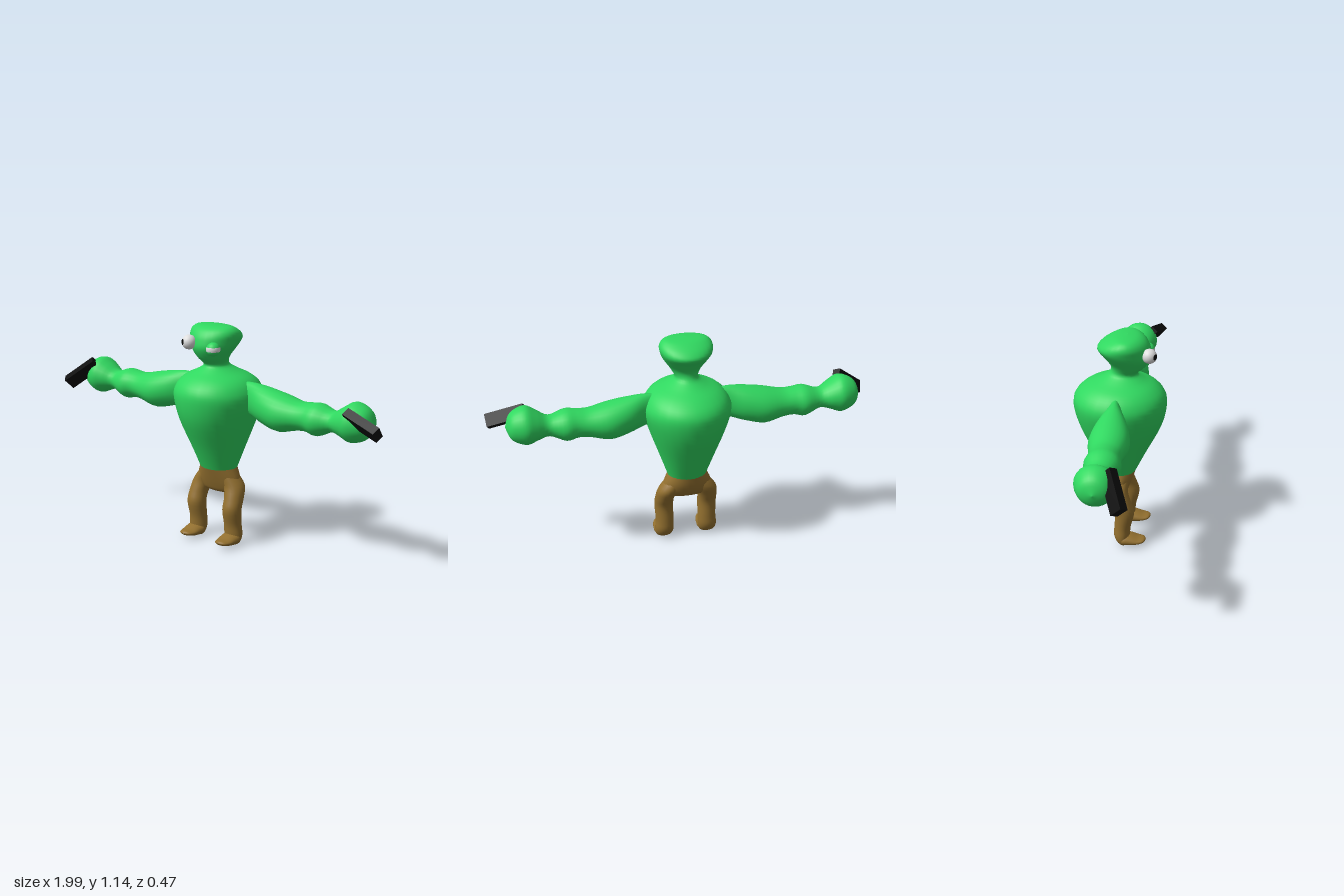
import * as THREE from 'three';

const mat = (name, color) => {
  const m = new THREE.MeshStandardMaterial({ color });
  m.name = name;
  return m;
};

const CX = -0.01; // body midline

// Smooth loft through elliptical rings: rows of [x, y, z, sideRadius, upRadius]
function loft(rows, axis, side, steps = 4, radial = 24) {
  const up = new THREE.Vector3().crossVectors(axis, side);
  const cr = (a, b, c, d, t) =>
    0.5 * (2 * b + (c - a) * t + (2 * a - 5 * b + 4 * c - d) * t * t + (3 * b - a - 3 * c + d) * t * t * t);
  const row = (i) => rows[Math.min(rows.length - 1, Math.max(0, i))];
  const rings = [];
  for (let i = 0; i < rows.length - 1; i++)
    for (let s = 0; s < steps; s++)
      rings.push(row(i).map((_, k) => cr(row(i - 1)[k], row(i)[k], row(i + 1)[k], row(i + 2)[k], s / steps)));
  rings.push(rows[rows.length - 1]);

  const pos = [], idx = [];
  rings.forEach(([x, y, z, a, b], i) => {
    for (let j = 0; j < radial; j++) {
      const t = (j / radial) * Math.PI * 2;
      const p = new THREE.Vector3(x, y, z)
        .addScaledVector(side, Math.max(a, 0.001) * Math.cos(t))
        .addScaledVector(up, Math.max(b, 0.001) * Math.sin(t));
      pos.push(p.x, p.y, p.z);
      if (i === rings.length - 1) continue;
      const k = i * radial + j, n = i * radial + ((j + 1) % radial);
      idx.push(k, n, k + radial, n, n + radial, k + radial);
    }
  });
  const g = new THREE.BufferGeometry();
  g.setAttribute('position', new THREE.Float32BufferAttribute(pos, 3));
  g.setIndex(idx);
  g.computeVertexNormals();
  return g;
}

export function createModel() {
  const green = mat('green skin', 0x30d860);
  const brown = mat('brown trousers', 0x93702f);
  const black = mat('black', 0x0a0a0a);
  const white = mat('eye white', 0xdedede);

  const model = new THREE.Group();
  const add = (name, geo, material, parent = model) => {
    const m = new THREE.Mesh(geo, material);
    m.name = name;
    parent.add(m);
    return m;
  };
  const X = new THREE.Vector3(1, 0, 0);
  const Y = new THREE.Vector3(0, 1, 0);
  const Z = new THREE.Vector3(0, 0, 1);

  // Torso, neck and head: [y, half width, back z, front z]
  const body = [
    [0.395, 0.102, -0.085, 0.085], [0.51, 0.142, -0.14, 0.14], [0.66, 0.195, -0.21, 0.213],
    [0.77, 0.225, -0.236, 0.236], [0.83, 0.212, -0.222, 0.225], [0.875, 0.172, -0.17, 0.182],
    [0.91, 0.1, -0.1, 0.12], [0.94, 0.06, -0.055, 0.088], [0.98, 0.078, -0.048, 0.128],
    [1.03, 0.112, -0.083, 0.155], [1.07, 0.13, -0.114, 0.152], [1.1, 0.135, -0.095, 0.14],
    [1.125, 0.122, -0.055, 0.118], [1.14, 0.09, -0.015, 0.085], [1.145, 0.001, 0.034, 0.036],
  ].map(([y, w, b, f]) => [CX, y, (b + f) / 2, w, (f - b) / 2]);
  add('torsoAndHead', loft(body, Y, X, 4, 28), green);

  // Trouser seat
  const seat = [
    [CX, 0.4, 0, 0.102, 0.086], [CX, 0.35, -0.004, 0.125, 0.074], [CX, 0.305, -0.004, 0.135, 0.058],
    [CX, 0.275, 0, 0.11, 0.04], [CX, 0.262, 0, 0.06, 0.02], [CX, 0.26, 0, 0.001, 0.001],
  ];
  add('trouserSeat', loft(seat, Y.clone().negate(), X), brown);

  // Arms, legs and feet, mirrored about the midline
  const arm = [
    [0.12, 0.79, 0.02, 0.07], [0.21, 0.785, 0.04, 0.085], [0.3, 0.765, 0.08, 0.095],
    [0.4, 0.745, 0.1, 0.096], [0.5, 0.745, 0.084, 0.073], [0.56, 0.748, 0.08, 0.072],
    [0.62, 0.745, 0.088, 0.08], [0.7, 0.75, 0.062, 0.052], [0.76, 0.76, 0.085, 0.075],
    [0.81, 0.765, 0.1, 0.098], [0.86, 0.765, 0.085, 0.085], [0.895, 0.765, 0.058, 0.056],
    [0.915, 0.765, 0.001, 0.001],
  ];
  const leg = [
    [0.055, 0.37, 0, 0.05, 0.055], [0.098, 0.31, -0.004, 0.055, 0.056], [0.115, 0.25, 0.018, 0.05, 0.053],
    [0.117, 0.19, 0.038, 0.05, 0.05], [0.115, 0.11, 0.028, 0.048, 0.043], [0.117, 0.06, 0.025, 0.05, 0.042],
    [0.118, 0.025, 0.03, 0.046, 0.034], [0.118, 0.005, 0.035, 0.03, 0.018], [0.118, 0.003, 0.035, 0.001, 0.001],
  ];
  const foot = [
    [0.118, 0.035, 0, 0.02, 0.02], [0.118, 0.036, 0.03, 0.05, 0.033], [0.118, 0.033, 0.07, 0.05, 0.029],
    [0.118, 0.031, 0.11, 0.044, 0.018], [0.118, 0.034, 0.14, 0.03, 0.011], [0.118, 0.036, 0.151, 0.001, 0.001],
  ];
  for (const [s, side] of [[1, 'left'], [-1, 'right']]) {
    const flip = (rows) => rows.map(([x, ...r]) => [CX + s * x, ...r]);
    const armRows = arm.map(([x, y, a, b]) => [CX + s * x, y, 0, a, b]);
    add(side + 'Arm', loft(armRows, X.clone().multiplyScalar(s), Z), green);
    add(side + 'Leg', loft(flip(leg), Y.clone().negate(), X), brown);
    add(side + 'Foot', loft(flip(foot), Z, X), brown);
  }

  // Dark blocks held in the hands, set by length and width directions
  const block = (name, centre, along, across) => {
    const l = new THREE.Vector3(...along).normalize();
    const n = new THREE.Vector3().crossVectors(l, new THREE.Vector3(...across)).normalize();
    const a = new THREE.Vector3().crossVectors(n, l);
    const m = add(name, new THREE.BoxGeometry(0.2, 0.068, 0.043), black);
    m.quaternion.setFromRotationMatrix(new THREE.Matrix4().makeBasis(l, a, n));
    m.position.set(...centre);
  };
  block('leftHandBlock', [0.893, 0.784, 0.082], [0.95, -0.28, 0.185], [-0.087, -0.74, -0.67]);
  block('rightHandBlock', [-0.898, 0.779, 0.091], [-0.74, -0.58, 0.34], [0.24, -0.7, -0.68]);

  // Right eye: bulging ball with a pupil cap turned outward
  const rightEye = new THREE.Group();
  rightEye.name = 'rightEye';
  rightEye.position.set(-0.076, 1.061, 0.152);
  add('rightEyeball', new THREE.SphereGeometry(0.037, 24, 16), white, rightEye);
  const pupil = add('rightPupil', new THREE.SphereGeometry(0.0378, 16, 4, 0, Math.PI * 2, 0, 0.42), black, rightEye);
  pupil.quaternion.setFromUnitVectors(Y, new THREE.Vector3(-0.5, 0.08, 0.86).normalize());
  model.add(rightEye);

  // Left eye: lidded ball with a white slit
  const leftEye = new THREE.Group();
  leftEye.name = 'leftEye';
  leftEye.position.set(0.06, 1.037, 0.13);
  add('leftEyelids', new THREE.SphereGeometry(0.035, 24, 16), green, leftEye);
  add('leftEyeWhite', new THREE.SphereGeometry(0.0357, 24, 6, 0, Math.PI * 2, 1.22, 0.64), white, leftEye);
  model.add(leftEye);

  return model;
}
